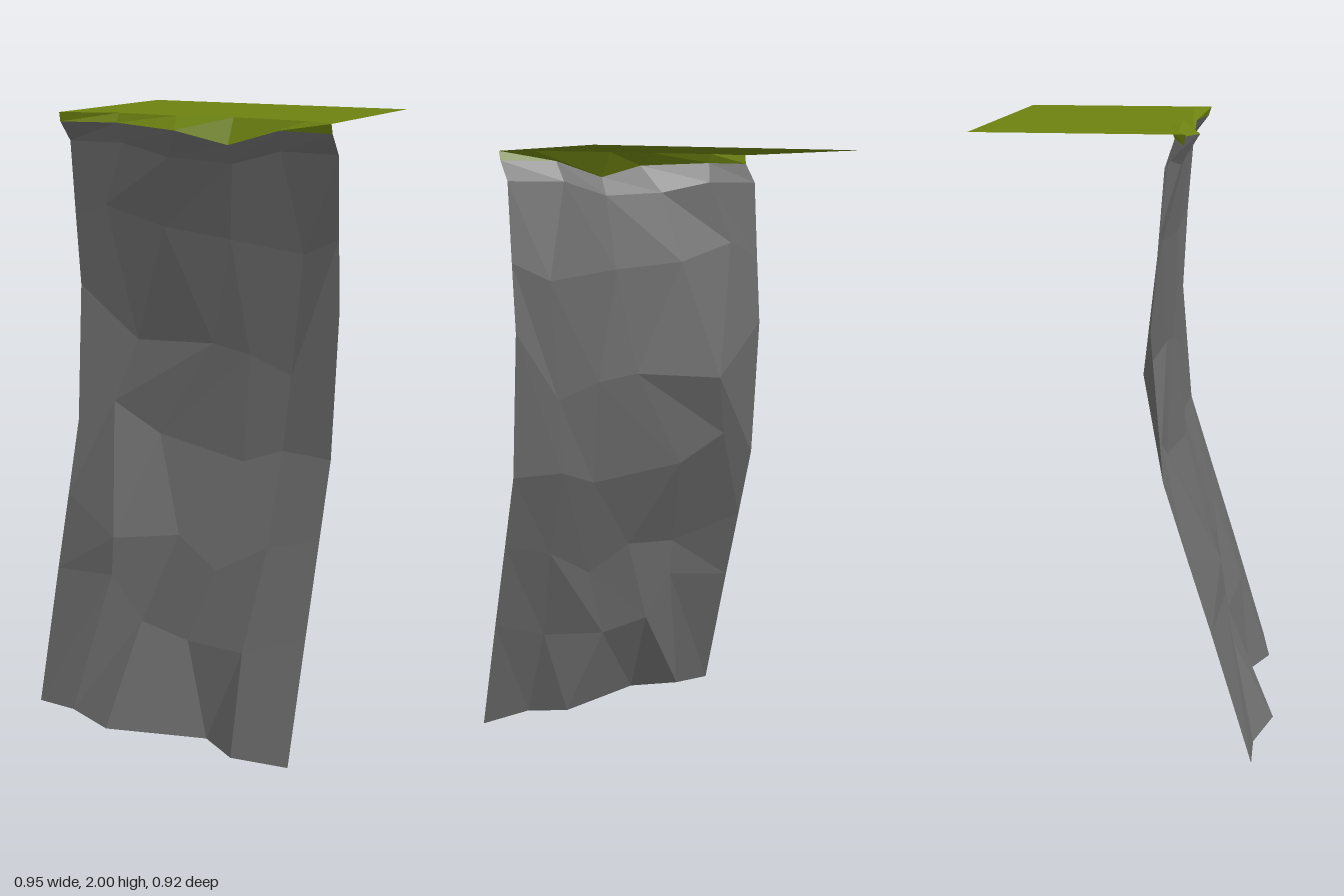
import * as THREE from 'three';

const rock = new THREE.MeshStandardMaterial({ color: 0x696969, side: THREE.DoubleSide, flatShading: true });
rock.name = 'grey rock';
const grass = new THREE.MeshStandardMaterial({ color: 0x6c8110, side: THREE.DoubleSide, flatShading: true });
grass.name = 'olive grass';

// Cross-sections of the rock face from the foot up, each point [x, y, z]
const cliffRows = [
  [[-0.475, 0, 0.40], [-0.34, 0, 0.40], [-0.17, 0, 0.46], [0.16, 0, 0.36], [0.285, 0, 0.43], [0.475, 0, 0.40]],
  [[-0.475, 0.45, 0.265], [-0.24, 0.48, 0.29], [-0.13, 0.33, 0.28], [0.05, 0.30, 0.285], [0.27, 0.32, 0.32], [0.475, 0.40, 0.28]],
  [[-0.475, 0.70, 0.187], [-0.24, 0.61, 0.275], [-0.02, 0.64, 0.215], [0.13, 0.55, 0.235], [0.30, 0.65, 0.20], [0.475, 0.70, 0.187]],
  [[-0.475, 0.95, 0.11], [-0.34, 1.03, 0.09], [-0.16, 0.94, 0.09], [0.17, 0.90, 0.12], [0.30, 0.95, 0.095], [0.475, 0.95, 0.11]],
  [[-0.475, 1.42, 0.07], [-0.28, 1.24, 0.025], [0.03, 1.27, 0.065], [0.17, 1.25, 0.075], [0.32, 1.20, 0.08], [0.475, 1.43, 0.07]],
  [[-0.475, 1.65, 0.09], [-0.36, 1.70, 0.085], [-0.15, 1.64, 0.07], [0.10, 1.62, 0.08], [0.35, 1.59, 0.07], [0.475, 1.65, 0.09]],
  [[-0.475, 1.905, 0.11], [-0.28, 1.905, 0.10], [-0.10, 1.87, 0.12], [0.12, 1.86, 0.11], [0.28, 1.905, 0.10], [0.475, 1.905, 0.11]],
];
// Lower and upper edges of the grass lip
const lipLow = [[-0.475, 1.97, 0.165], [-0.29, 1.97, 0.12], [-0.05, 1.96, 0.175], [0.12, 1.92, 0.14], [0.29, 1.97, 0.135], [0.475, 1.97, 0.16]];
const lipTop = [[-0.475, 2, 0.17], [-0.29, 2, 0.105], [-0.07, 2, 0.122], [0.115, 2, 0.09], [0.375, 2, 0.115], [0.475, 2, 0.17]];

// Joins neighbouring cross-sections with two triangles per cell
function sheet(name, rows, material) {
  const cols = rows[0].length;
  const index = [];
  for (let j = 0; j < rows.length - 1; j++) {
    for (let i = 0; i < cols - 1; i++) {
      const a = j * cols + i, b = a + 1, c = b + cols, d = a + cols;
      index.push(a, b, c, a, c, d);
    }
  }
  const geometry = new THREE.BufferGeometry();
  geometry.setAttribute('position', new THREE.Float32BufferAttribute(rows.flat(2), 3));
  geometry.setIndex(index);
  const flat = geometry.toNonIndexed();
  flat.computeVertexNormals();
  const mesh = new THREE.Mesh(flat, material);
  mesh.name = name;
  return mesh;
}

export function createModel() {
  const model = new THREE.Group();
  model.name = 'grassyCliff';

  // Rock face, including the overhang under the grass
  model.add(sheet('cliffFace', [...cliffRows, lipLow], rock));

  // Ragged turf edge
  model.add(sheet('grassLip', [lipLow, lipTop], grass));

  // Flat turf with a ragged front and a straight back
  const outline = new THREE.Shape([
    ...lipTop.map(([x, , z]) => new THREE.Vector2(x, -z)),
    new THREE.Vector2(0.475, 0.46),
    new THREE.Vector2(-0.475, 0.46),
  ]);
  const top = new THREE.Mesh(new THREE.ShapeGeometry(outline).rotateX(-Math.PI / 2).translate(0, 2, 0), grass);
  top.name = 'grassTop';
  model.add(top);

  return model;
}
